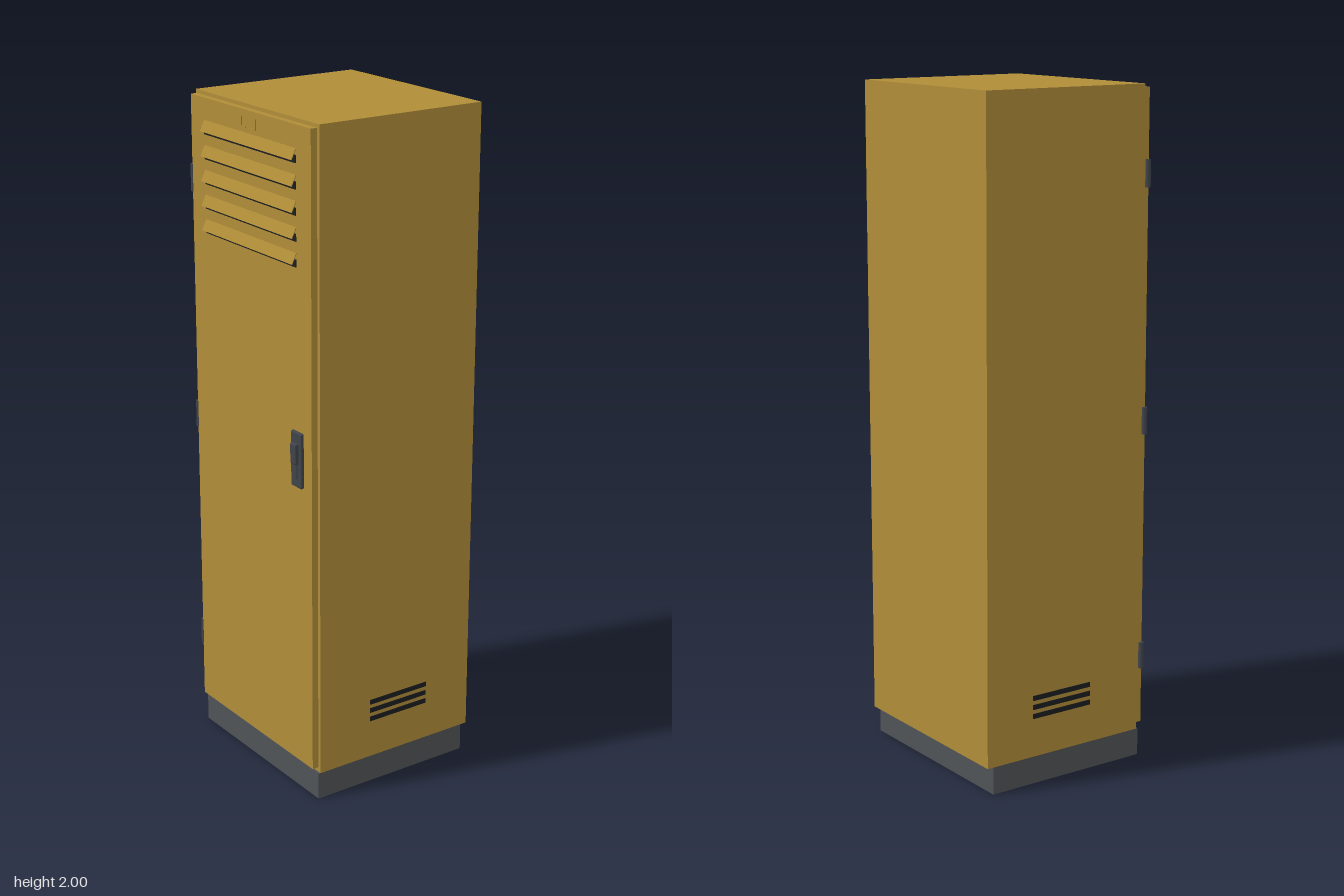
import * as THREE from 'three';
import { RoundedBoxGeometry } from 'three/addons/geometries/RoundedBoxGeometry.js';

export function createModel() {
  const model = new THREE.Group();
  model.name = 'locker';

  const mat = (name, color) => {
    const m = new THREE.MeshStandardMaterial({ color });
    m.name = name;
    return m;
  };
  const ochre = mat('ochre paint', 0xb08d38);
  const grey = mat('plinth grey', 0x505457);
  const dark = mat('dark slot', 0x1b1d20);
  const metal = mat('dark metal', 0x40444a);

  const add = (name, geometry, material, x, y, z, parent = model) => {
    const mesh = new THREE.Mesh(geometry, material);
    mesh.name = name;
    mesh.position.set(x, y, z);
    parent.add(mesh);
    return mesh;
  };
  // Box given by its limits on each axis
  const span = (name, material, x0, x1, y0, y1, z0, z1, parent) =>
    add(name, new THREE.BoxGeometry(x1 - x0, y1 - y0, z1 - z0), material,
      (x0 + x1) / 2, (y0 + y1) / 2, (z0 + z1) / 2, parent);
  const group = (name) => {
    const g = new THREE.Group();
    g.name = name;
    model.add(g);
    return g;
  };

  // Plinth, cabinet and overlaid door
  span('plinth', grey, -0.306, 0.306, 0, 0.083, -0.275, 0.254);
  span('cabinet', ochre, -0.307, 0.307, 0.083, 2, -0.295, 0.248);
  span('door', ochre, -0.299, 0.299, 0.1, 1.99, 0.25, 0.27);
  span('doorSeal', dark, -0.294, 0.294, 0.105, 1.985, 0.248, 0.25);

  // Slanted louvres with a dark opening below each hood
  const louvres = group('louvres');
  for (let i = 0; i < 5; i++) {
    const y = 1.61 + i * 0.0715;
    const hood = add('louvreHood', new THREE.BoxGeometry(0.458, 0.034, 0.002), ochre,
      0, y + 0.015, 0.277, louvres);
    hood.rotation.x = -0.45;
    span('louvreSlot', dark, -0.229, 0.229, y - 0.01, y + 0.012, 0.27, 0.2712, louvres);
  }

  // Label holder: two corner brackets
  const holder = group('labelHolder');
  for (const s of [-1, 1]) {
    add('holderSide', new THREE.BoxGeometry(0.004, 0.03, 0.003), ochre, s * 0.035, 1.956, 0.2715, holder);
    add('holderFoot', new THREE.BoxGeometry(0.024, 0.004, 0.003), ochre, s * 0.025, 1.942, 0.2715, holder);
  }

  // Hinges on the model's right edge of the door
  const hinges = group('hinges');
  for (const y of [0.312, 1.03, 1.748]) {
    add('hingePin', new THREE.CylinderGeometry(0.008, 0.008, 0.08, 16), metal, -0.303, y, 0.265, hinges);
  }

  // Lock plate with raised lever
  const handle = group('handle');
  add('handlePlate', new RoundedBoxGeometry(0.052, 0.164, 0.012, 3, 0.005), metal, 0.236, 1.05, 0.275, handle);
  add('handleLever', new RoundedBoxGeometry(0.028, 0.062, 0.018, 3, 0.005), metal, 0.236, 1.07, 0.283, handle);
  add('handleGrip', new RoundedBoxGeometry(0.018, 0.05, 0.008, 2, 0.003), metal, 0.236, 1.02, 0.281, handle);

  // Ventilation slots low on both sides
  const vents = group('sideVents');
  for (const s of [-1, 1]) {
    for (let i = 0; i < 3; i++) {
      add('ventSlot', new THREE.BoxGeometry(0.002, 0.015, 0.206), dark,
        s * 0.3075, 0.207 + i * 0.0275, -0.033, vents);
    }
  }

  return model;
}
